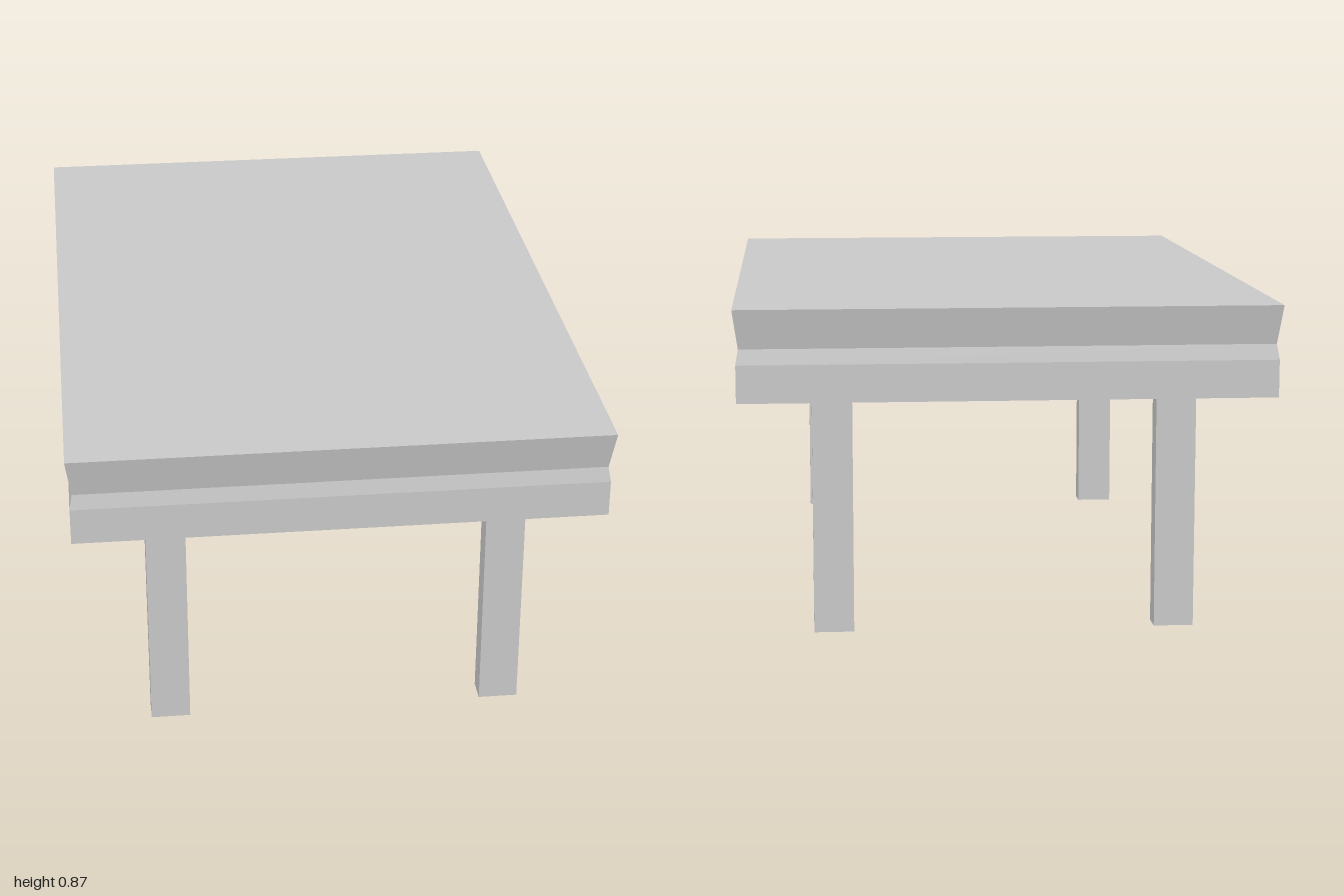
import * as THREE from 'three';

const material = new THREE.MeshStandardMaterial({ color: 0xcccccc, flatShading: true });

// Slab whose sides follow a profile: [y, half width, half depth], bottom to top
function createTabletop() {
  const profile = [
    [0.628, 0.689, 0.988],
    [0.725, 0.689, 0.988],
    [0.765, 0.682, 0.981],
    [0.866, 0.696, 1.0],
  ];
  const geometry = new THREE.BoxGeometry(2, 3, 2, 1, 3, 1);
  const pos = geometry.attributes.position;
  for (let i = 0; i < pos.count; i++) {
    const [y, halfX, halfZ] = profile[Math.round(pos.getY(i) + 1.5)];
    pos.setXYZ(i, Math.sign(pos.getX(i)) * halfX, y, Math.sign(pos.getZ(i)) * halfZ);
  }
  geometry.computeVertexNormals();
  const mesh = new THREE.Mesh(geometry, material);
  mesh.name = 'tabletop';
  return mesh;
}

export function createModel() {
  const model = new THREE.Group();
  model.name = 'table';
  model.add(createTabletop());

  // Four flat rectangular legs
  const legHeight = 0.628;
  const legGeometry = new THREE.BoxGeometry(0.104, legHeight, 0.064);
  for (const [end, z] of [['front', 0.833], ['back', -0.822]]) {
    for (const [side, x] of [['Left', 0.447], ['Right', -0.447]]) {
      const leg = new THREE.Mesh(legGeometry, material);
      leg.name = `${end}${side}Leg`;
      leg.position.set(x, legHeight / 2, z);
      model.add(leg);
    }
  }
  return model;
}
